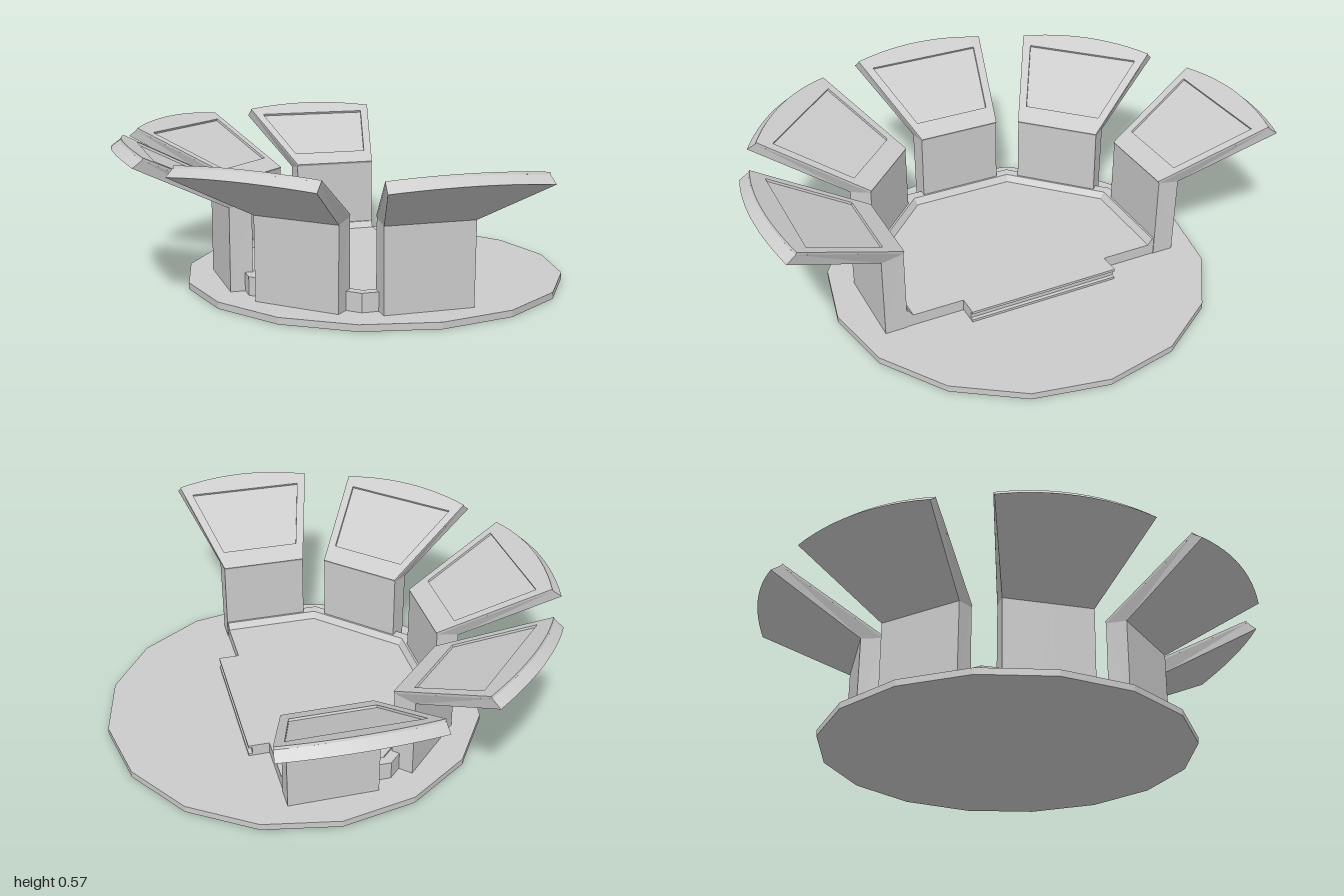
import * as THREE from 'three';

const material = new THREE.MeshStandardMaterial({ color: 0xcccccc, flatShading: true });
const CENTER = 0.125; // x of the axis shared by base, floor and panels

function add(parent, name, geometry) {
  const mesh = new THREE.Mesh(geometry, material);
  mesh.name = name;
  parent.add(mesh);
  return mesh;
}

// Joins equal closed cross-sections and caps both ends; profile is counter-clockwise
function loft(sections, profile) {
  const n = profile.length, index = [];
  for (let j = 0; j < sections.length - 1; j++) {
    for (let k = 0; k < n; k++) {
      const a = j * n + k, b = j * n + (k + 1) % n;
      index.push(a, a + n, b + n, a, b + n, b);
    }
  }
  const last = (sections.length - 1) * n;
  const outline = profile.map(([r, y]) => new THREE.Vector2(r, y));
  for (const [a, b, c] of THREE.ShapeUtils.triangulateShape(outline, [])) {
    index.push(a, b, c, last + a, last + c, last + b);
  }
  const geometry = new THREE.BufferGeometry();
  geometry.setAttribute('position', new THREE.Float32BufferAttribute(sections.flat(2), 3));
  geometry.setIndex(index);
  const flat = geometry.toNonIndexed();
  flat.computeVertexNormals();
  return flat;
}

// Open part of an octagon with the given apothem, as [x, z]
function octagonPath(a) {
  const h = a * Math.tan(Math.PI / 8);
  return [[0.29, -a], [CENTER - h, -a], [CENTER - a, -h], [CENTER - a, h], [CENTER - h, a], [0.29, a]];
}

// Horizontal plate from an [x, z] outline
function plate(points, bottom, top) {
  const shape = new THREE.Shape(points.map(([x, z]) => new THREE.Vector2(x, z)));
  return new THREE.ExtrudeGeometry(shape, { depth: top - bottom, bevelEnabled: false })
    .rotateX(Math.PI / 2).translate(0, top, 0);
}

// Floor outline with a tongue reaching out to the open side
const floorOutline = (reach) => [
  ...octagonPath(0.5), [0.29, 0.3], [reach, 0.3], [reach, -0.3], [0.29, -0.3],
];

// Upright post that bends outward into a fan-shaped panel with a curved end
function postGeometry() {
  const profile = [
    [0.525, 0.025, 0.168], [0.61, 0.025, 0.168], [0.61, 0.34, 0.17],
    [1.0, 0.54, 0.283], [0.965, 0.566, 0.278], [0.525, 0.353, 0.167],
  ];
  const steps = 12, sections = [];
  for (let i = 0; i <= steps; i++) {
    const t = (i / steps) * 2 - 1;
    sections.push(profile.map(([r, y, half]) => {
      const drop = r > 0.9 ? t * t : 0;
      return [half * t, y - 0.017 * drop, r - 0.035 * drop];
    }));
  }
  return loft(sections, profile);
}

// Thin border on the sloped face, leaving a shallow recess
function borderGeometry() {
  const slope = Math.atan2(0.213, 0.44), length = Math.hypot(0.213, 0.44);
  const shape = new THREE.Shape();
  shape.moveTo(-0.167, 0);
  shape.lineTo(0.167, 0);
  shape.lineTo(0.278, length - 0.039);
  shape.quadraticCurveTo(0, length + 0.039, -0.278, length - 0.039);
  shape.closePath();
  shape.holes.push(new THREE.Path(
    [[-0.155, 0.083], [-0.232, 0.402], [0.232, 0.402], [0.155, 0.083]]
      .map(([x, y]) => new THREE.Vector2(x, y))));
  const s = Math.sin(slope), c = Math.cos(slope);
  const tilt = new THREE.Matrix4().makeBasis(
    new THREE.Vector3(-1, 0, 0), new THREE.Vector3(0, s, c), new THREE.Vector3(0, c, -s));
  tilt.setPosition(0, 0.353, 0.525);
  return new THREE.ExtrudeGeometry(shape, { depth: 0.009, bevelEnabled: false, curveSegments: 12 })
    .applyMatrix4(tilt);
}

export function createModel() {
  const model = new THREE.Group();
  model.name = 'panelRingPlatform';

  // Sixteen-sided base disc with a corner on +x
  add(model, 'baseDisc', new THREE.CylinderGeometry(0.735, 0.735, 0.025, 16)
    .rotateY(Math.PI / 2).translate(CENTER, 0.0125, 0));

  // Raised floor, its edge grooved between two lips
  add(model, 'floorLowerLip', plate(floorOutline(0.37), 0.02, 0.034));
  add(model, 'floorCore', plate(floorOutline(0.355), 0.034, 0.06));
  add(model, 'floorTop', plate(floorOutline(0.37), 0.06, 0.07));

  // Raised rim around the floor, sloped on the inside
  const rim = [[0.5, 0.025], [0.555, 0.025], [0.555, 0.095], [0.517, 0.095], [0.5, 0.07]];
  const paths = rim.map(([a]) => octagonPath(a));
  const rimSections = paths[0].map((_, j) => rim.map(([, y], k) => [paths[k][j][0], y, paths[k][j][1]]));
  add(model, 'floorRim', loft(rimSections, rim));

  // Five panels around the closed side
  const post = postGeometry(), border = borderGeometry();
  for (let i = 0; i < 5; i++) {
    const panel = new THREE.Group();
    panel.name = `panel${i + 1}`;
    add(panel, 'panelPost', post);
    add(panel, 'panelBorder', border);
    panel.position.x = CENTER;
    panel.rotation.y = -i * Math.PI / 4;
    model.add(panel);
  }
  return model;
}
